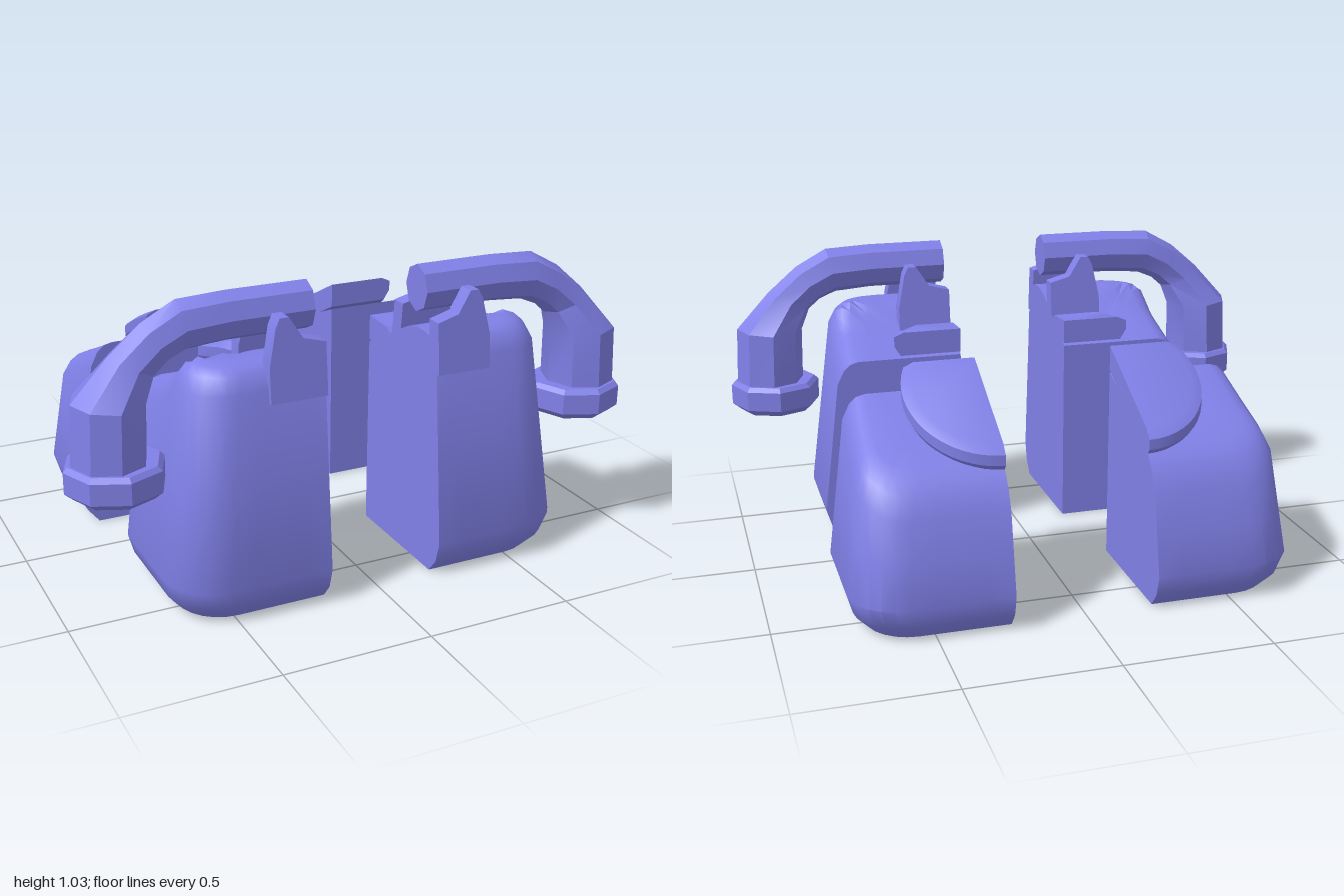
import * as THREE from 'three';
import { toCreasedNormals } from 'three/addons/utils/BufferGeometryUtils.js';

const material = new THREE.MeshStandardMaterial({ color: 0x8080e8 });

// Closed solid through equal-length rings [x, y, z], mirrored by sx and sz
function loft(name, rings, sx, sz, crease) {
  const n = rings[0].length, pos = [], idx = [];
  rings.flat().forEach(([x, y, z]) => pos.push(x * sx, y, z * sz));
  const tri = (a, b, c) => (sx * sz > 0 ? idx.push(a, b, c) : idx.push(a, c, b));
  for (let k = 0; k < rings.length - 1; k++) {
    for (let i = 0; i < n; i++) {
      const j = (i + 1) % n, a = k * n, b = a + n;
      tri(a + i, a + j, b + j);
      tri(a + i, b + j, b + i);
    }
  }
  const last = (rings.length - 1) * n;
  for (let i = 1; i < n - 1; i++) {
    tri(0, i + 1, i);
    tri(last, last + i, last + i + 1);
  }
  const g = new THREE.BufferGeometry();
  g.setAttribute('position', new THREE.Float32BufferAttribute(pos, 3));
  g.setIndex(idx);
  const mesh = new THREE.Mesh(toCreasedNormals(g, crease), material);
  mesh.name = name;
  return mesh;
}

// Height of the casing top at depth z (z > 0 is the tall end)
function topHeight(z) {
  if (z < 0.2) return 0.67 + (z < -0.37 ? 0.4 * -0.37 + 0.7 * (z + 0.37) : 0.4 * z);
  return Math.min(0.82, 0.75 + 0.9 * (z - 0.2));
}

// Quarter footprint: cut corner, then round the outer edge
function footprint() {
  const size = 0.51, r = 0.17, s = size - r, pts = [];
  for (let i = 0; i < 4; i++) pts.push([s * i / 4, size]);
  for (let i = 0; i <= 6; i++) {
    const a = Math.PI / 2 * (1 - i / 6);
    pts.push([s + r * Math.cos(a), s + r * Math.sin(a)]);
  }
  for (let i = 7; i >= 0; i--) pts.push([size, s * i / 8]);
  return pts;
}

// Quarter of the casing
function body(sx, sz) {
  const outline = footprint(), rings = [];
  const taperZ = sz > 0 ? 0.19 : 0.42;
  const point = (x, z, y) => [x * (1 - 0.25 * (y - 0.12)), z * (1 - taperZ * (y - 0.12))];
  // chamfered foot
  for (const [y, inset] of [[0, 0.06], [0.05, 0.02], [0.12, 0]]) {
    const k = 1 - inset / 0.51;
    rings.push([[0, y, 0], ...outline.map(([x, z]) => [x * k, y, z * k])]);
  }
  // wall and rounded shoulder
  for (const [f, drop, inset] of [[0.5, 0.08, 0], [1, 0.08, 0], [1, 0.03, 0.018], [1, 0.008, 0.04], [1, 0, 0.07]]) {
    const k = 1 - inset / 0.45;
    const ring = [[0, 0, 0], ...outline].map(([x, z]) => {
      const h = topHeight(sz * z * 0.87 * k) - drop;
      const y = 0.12 + f * (h - 0.12);
      const [px, pz] = point(x, z, y);
      return [px * k, y, pz * k];
    });
    rings.push(ring);
  }
  // sloping top
  const rim = rings[rings.length - 1];
  for (const k of [0.85, 0.7, 0.55, 0.4, 0.2, 0.02]) {
    rings.push(rim.map(([x, , z]) => [x * k, topHeight(sz * z * k), z * k]));
  }
  return loft('body', rings, sx, sz, 0.6);
}

// Part of the tilted round dial
function dial(sx, sz) {
  const c = -0.12 * sz, slope = sz > 0 ? 0.1 : -0.5;
  const rings = [[0.25, -0.085], [0.27, -0.05], [0.27, -0.015], [0.24, 0]].map(([r, dy]) => {
    const end = Math.asin(-c / r), ring = [[0, 0.765 + dy, 0]];
    for (let i = 0; i <= 16; i++) {
      const a = Math.PI / 2 + (end - Math.PI / 2) * i / 16;
      const z = c + r * Math.sin(a);
      const tip = sz > 0 ? -0.03 * Math.max(0, z - 0.07) / 0.08 : 0;
      ring.push([r * Math.cos(a), 0.765 + dy + slope * z + tip, z]);
    }
    return ring;
  });
  return loft('dial', rings, sx, sz, 0.5);
}

// Half of the handset grip: outer x, y, inner x, y, half depth
function grip(sx) {
  const sections = [
    [0, 1.028, 0, 0.87, 0.068], [0.27, 1.028, 0.27, 0.87, 0.068], [0.43, 1.02, 0.4, 0.86, 0.07],
    [0.54, 0.96, 0.46, 0.835, 0.07], [0.645, 0.87, 0.5, 0.8, 0.075], [0.765, 0.74, 0.53, 0.725, 0.125],
    [0.775, 0.53, 0.535, 0.53, 0.13],
  ];
  const rings = sections.map(([ox, oy, ix, iy, hz]) => {
    const ring = [];
    for (let i = 0; i < 8; i++) {
      const a = i * Math.PI / 4, t = Math.cos(a) / 2;
      ring.push([(ox + ix) / 2 + t * (ox - ix), (oy + iy) / 2 + t * (oy - iy), 0.31 + hz * Math.sin(a)]);
    }
    return ring;
  });
  return loft('handsetGrip', rings, sx, 1, 0.4);
}

// Octagonal cup at the end of the handset
function cup(sx) {
  const profile = [[0, 0.435], [0.13, 0.435], [0.16, 0.46], [0.16, 0.53], [0.145, 0.545], [0, 0.545]];
  const g = new THREE.LatheGeometry(profile.map(([x, y]) => new THREE.Vector2(x, y)), 8);
  const mesh = new THREE.Mesh(toCreasedNormals(g.toNonIndexed(), 0.3), material);
  mesh.name = 'handsetCup';
  mesh.position.set(sx * 0.638, 0, 0.31);
  return mesh;
}

// Cradle prong, leaning towards the handset
function prong(sx, side) {
  const profile = [[0, 0.7], [0.19, 0.7], [0.19, 0.81], [0.165, 0.93], [0.15, 0.96], [0.12, 0.96], [0.075, 0.89], [0, 0.87]];
  const rings = [-0.028, 0.028].map((dz) => profile.map(([x, y]) =>
    [x, y, 0.31 + side * (0.12 - 0.1 * (y - 0.8)) + dz]));
  return loft('cradleProng', rings, sx, 1, 0.3);
}

export function createModel() {
  const model = new THREE.Group();
  const quarters = [
    ['frontLeftQuarter', 1, 1, 0.207, 0.182], ['frontRightQuarter', -1, 1, -0.185, 0.182],
    ['backLeftQuarter', 1, -1, 0.25, -0.195], ['backRightQuarter', -1, -1, -0.232, -0.188],
  ];
  for (const [name, sx, sz, x, z] of quarters) {
    const quarter = new THREE.Group();
    quarter.name = name;
    quarter.position.set(x, 0, z);
    quarter.add(body(sx, sz), dial(sx, sz));
    if (sz > 0) quarter.add(grip(sx), cup(sx), prong(sx, 1), prong(sx, -1));
    model.add(quarter);
  }
  return model;
}
